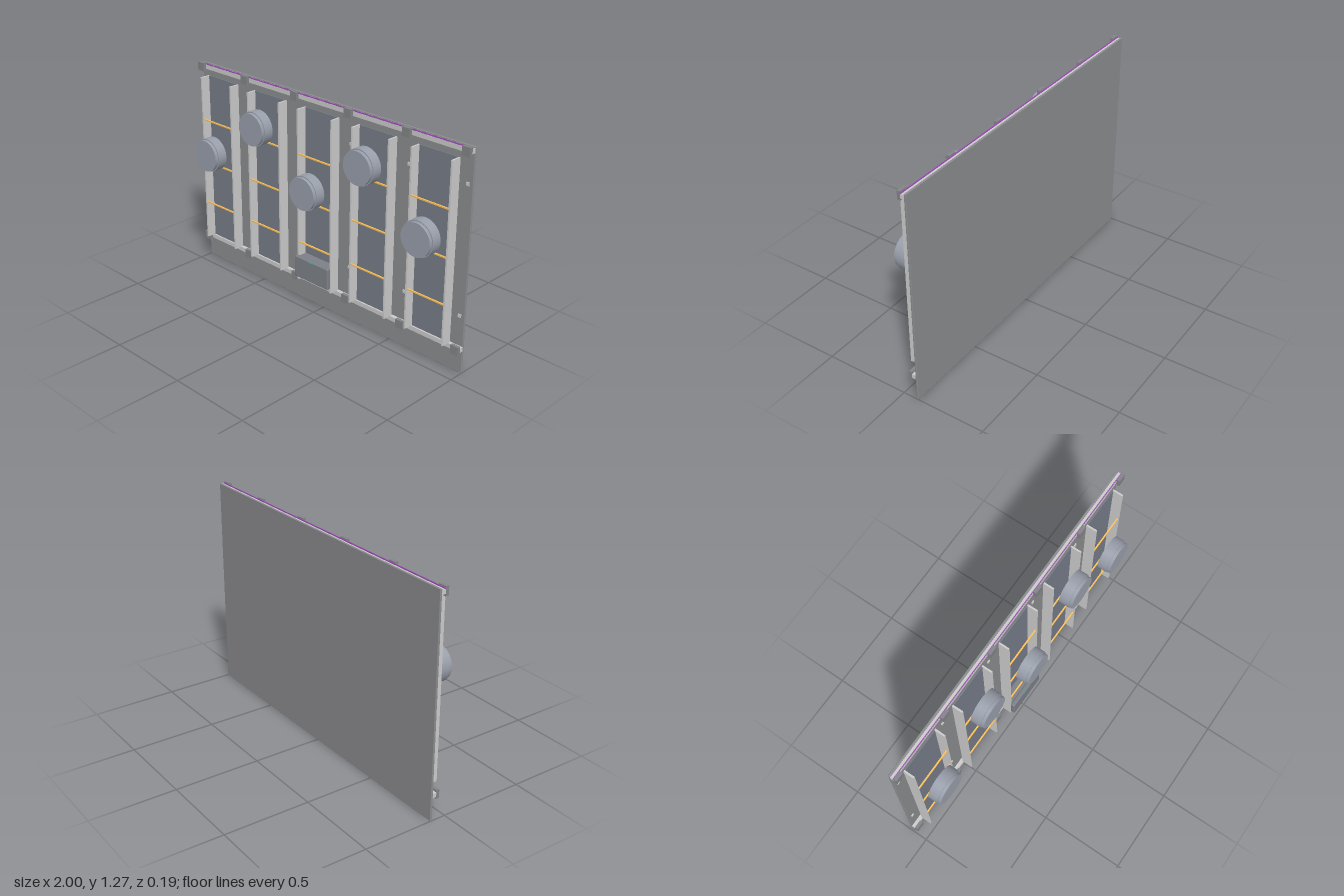
import * as THREE from 'three';
import { RoundedBoxGeometry } from 'three/addons/geometries/RoundedBoxGeometry.js';

const paint = (color) => new THREE.MeshStandardMaterial({ color });
const boardGrey = paint(0x8b8c8f);
const blockGrey = paint(0x828487);
const coverGrey = paint(0x7c8087);
const slate = paint(0x767c88);
const steel = paint(0x989eaa);
const paleGrey = paint(0xececec);
const amber = paint(0xffc257);
const purple = paint(0xa050b8);
const green = paint(0x3fb08a);

export function createModel() {
  const model = new THREE.Group();
  model.name = 'wallPanel';

  // Box given by its bounds on each axis, with rounded edges if a radius is given
  function box(name, [x0, x1], [y0, y1], [z0, z1], material, parent = model, radius = 0) {
    const size = [x1 - x0, y1 - y0, z1 - z0];
    const geometry = radius
      ? new RoundedBoxGeometry(...size, 3, radius)
      : new THREE.BoxGeometry(...size);
    const mesh = new THREE.Mesh(geometry, material);
    mesh.position.set((x0 + x1) / 2, (y0 + y1) / 2, (z0 + z1) / 2);
    mesh.name = name;
    parent.add(mesh);
  }

  box('backBoard', [-1, 1], [0, 1.266], [-0.095, -0.083], boardGrey, model, 0.003);

  // Upper and lower rails with their clamp blocks
  for (const y of [1.247, 0.147]) {
    box('rail', [-1, 1], [y - 0.013, y + 0.013], [-0.084, -0.062], paleGrey);
    for (const x of [-0.975, -0.6, -0.2, 0.2, 0.6, 0.975]) {
      box('clampBlock', [x - 0.025, x + 0.025], [y - 0.025, y + 0.025], [-0.062, -0.043], blockGrey);
    }
  }
  box('lightStrip', [-1, 1], [1.26, 1.267], [-0.067, -0.063], purple);

  // Small pegs on the board
  for (const y of [1.067, 0.335]) {
    for (const x of [-0.97, -0.6, -0.2, 0.2, 0.6, 0.97]) {
      box('peg', [x - 0.009, x + 0.009], [y - 0.009, y + 0.009], [-0.084, -0.077], paleGrey);
    }
  }

  // Stepped drum, axis along z
  function drum(x, y) {
    const profile = [[0, 0.019], [0.1, 0.019], [0.1, 0.077], [0.094, 0.077], [0.094, 0.096], [0, 0.096]];
    const group = new THREE.Group();
    group.name = 'drum';
    for (let i = 0; i < profile.length - 1; i++) {
      const points = [profile[i], profile[i + 1]].map(([r, z]) => new THREE.Vector2(r, z));
      const band = new THREE.Mesh(new THREE.LatheGeometry(points, 48), steel);
      band.rotation.x = Math.PI / 2;
      group.add(band);
    }
    group.position.set(x, y, 0);
    model.add(group);
  }

  // Five bays: recessed back, two side walls, cross wires and a drum in front
  [-0.8, -0.4, 0, 0.4, 0.8].forEach((x, i) => {
    const bay = new THREE.Group();
    bay.name = 'bay';
    bay.position.x = x;
    model.add(bay);
    box('bayBack', [-0.121, 0.121], [0.17, 1.2], [-0.063, -0.058], slate, bay);
    for (const s of [-1, 1]) {
      box('bayWall', [s * 0.126 - 0.005, s * 0.126 + 0.005], [0.17, 1.2], [-0.063, -0.002], paleGrey, bay);
    }
    for (const y of [0.941, 0.674, 0.408]) {
      box('crossWire', [-0.121, 0.121], [y - 0.004, y + 0.004], [-0.012, -0.004], amber, bay);
    }
    drum(x, i % 2 ? 1.035 : 0.768);
  });

  // Control box seated in the middle bay
  box('controlBody', [-0.12, 0.12], [0.21, 0.32], [-0.058, 0], coverGrey);
  box('controlCover', [-0.131, 0.131], [0.2, 0.33], [-0.003, 0.024], coverGrey, model, 0.008);
  box('indicator', [-0.03, 0.03], [0.32, 0.325], [0.02, 0.0245], green);

  return model;
}
